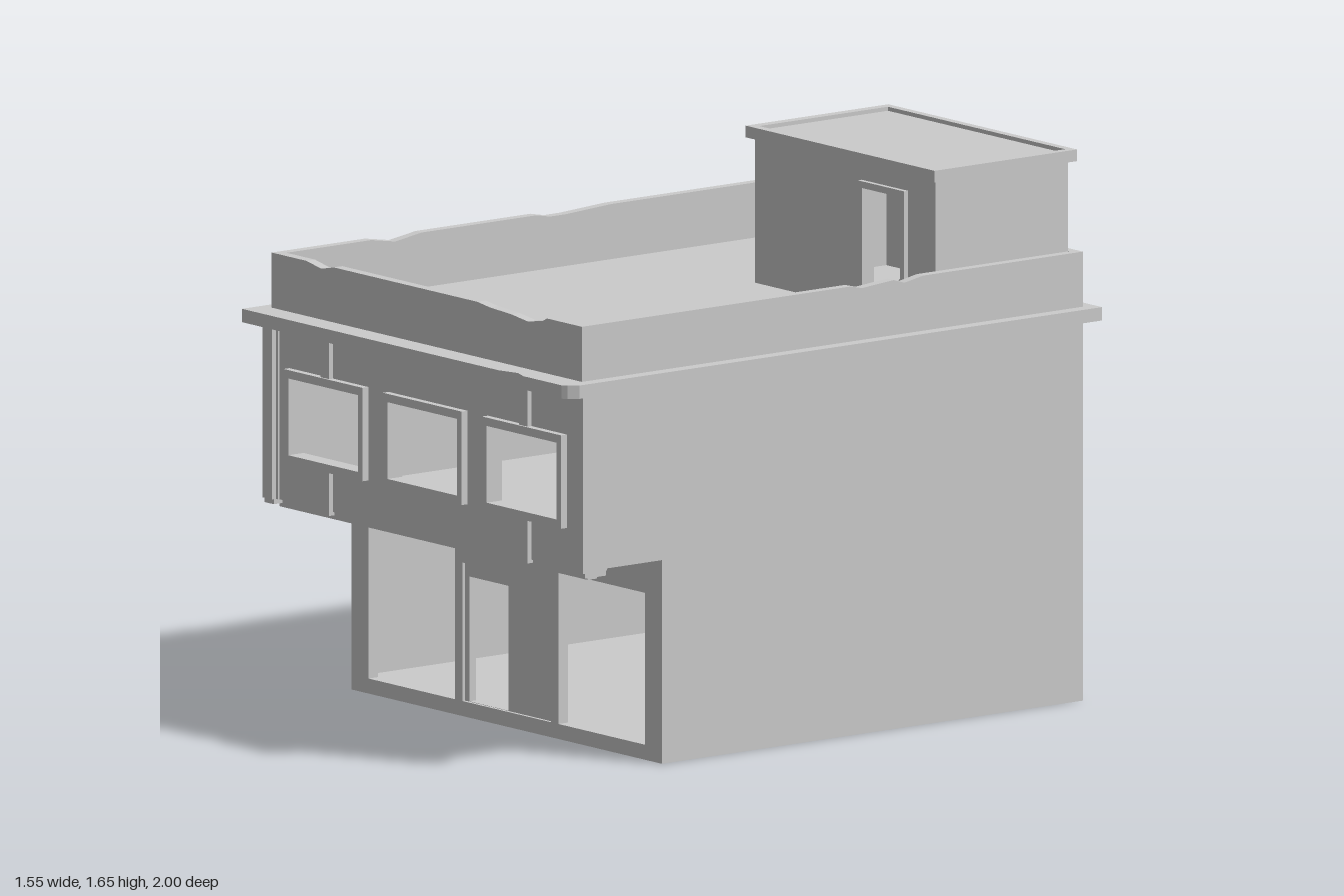
import * as THREE from 'three';

const mat = new THREE.MeshStandardMaterial({ color: 0xcccccc, flatShading: true });

export function createModel() {
  const model = new THREE.Group();
  model.name = 'twoStoreyBuilding';

  const add = (name, geo) => {
    const m = new THREE.Mesh(geo, mat);
    m.name = name;
    model.add(m);
    return m;
  };
  // box given by its extents
  const box = (name, x0, x1, y0, y1, z0, z1) =>
    add(name, new THREE.BoxGeometry(x1 - x0, y1 - y0, z1 - z0)
      .translate((x0 + x1) / 2, (y0 + y1) / 2, (z0 + z1) / 2));
  const rect = (a0, a1, b0, b1) => [[a0, b0], [a1, b0], [a1, b1], [a0, b1]];
  const slab = (points, holes, depth) => {
    const toV = (p) => p.map(([a, b]) => new THREE.Vector2(a, b));
    const s = new THREE.Shape(toV(points));
    holes.forEach((h) => s.holes.push(new THREE.Path(toV(h))));
    return new THREE.ExtrudeGeometry(s, { depth, bevelEnabled: false });
  };
  // wall facing z (outline in x,y), wall facing x (outline in z,y), floor (outline in x,z)
  const wallZ = (name, pts, holes, z0, z1) =>
    add(name, slab(pts, holes, z1 - z0).translate(0, 0, z0));
  const wallX = (name, pts, holes, x0, x1) =>
    add(name, slab(pts, holes, x1 - x0).rotateY(-Math.PI / 2).translate(x1, 0, 0));
  const floor = (name, pts, holes, y0, y1) =>
    add(name, slab(pts, holes, y1 - y0).rotateX(Math.PI / 2).translate(0, y1, 0));

  // --- Main shell ---
  const sideOutline = [[-0.96, 0], [0.62, 0], [0.62, 0.61], [0.92, 0.61], [0.92, 1.14], [-0.96, 1.14]];
  wallX('leftWall', sideOutline, [], 0.705, 0.735);
  wallX('rightWall', sideOutline, [], -0.735, -0.705);
  wallZ('backWall', rect(-0.705, 0.705, 0, 1.14), [rect(-0.645, -0.455, 0.045, 0.42)], -0.96, -0.93);
  wallZ('shopFront', rect(-0.705, 0.705, 0, 0.61), [
    rect(-0.655, -0.245, 0.045, 0.5),
    rect(-0.21, 0.21, 0.045, 0.46),
    rect(0.245, 0.655, 0.045, 0.5),
  ], 0.585, 0.62);
  box('groundFloor', -0.705, 0.705, 0, 0.045, -0.93, 0.585);

  // front door: open left half in a frame, closed right leaf
  wallZ('doorFrame', rect(-0.21, 0, 0.045, 0.46), [rect(-0.19, -0.005, 0.046, 0.42)], 0.585, 0.61);
  box('doorLeaf', 0, 0.21, 0.045, 0.46, 0.59, 0.61);

  // --- Upper storey ---
  const stairHole = rect(-0.1, 0.39, -0.71, -0.46);
  floor('upperFloor', rect(-0.705, 0.705, -0.93, 0.89), [stairHole], 0.61, 0.625);
  const windows = [-0.47, 0, 0.47];
  wallZ('upperFront', rect(-0.705, 0.705, 0.61, 1.14),
    windows.map((x) => rect(x - 0.165, x + 0.165, 0.755, 0.985)), 0.885, 0.915);
  for (const x of windows) {
    wallZ('windowFrame', rect(x - 0.187, x + 0.187, 0.73, 1.01),
      [rect(x - 0.165, x + 0.165, 0.755, 0.985)], 0.88, 0.937);
    if (x) {
      box('frontStrip', x - 0.02, x + 0.02, 1.01, 1.14, 0.91, 0.93);
      box('frontStrip', x - 0.02, x + 0.02, 0.6, 0.73, 0.91, 0.93);
    }
  }
  for (const s of [-1, 1]) {
    const [a, b] = [s * 0.715, s * 0.76].sort((p, q) => p - q);
    box('cornerPilaster', a, b, 0.61, 1.14, 0.845, 0.935);
    box('pilasterFoot', a, b, 0.595, 0.615, 0.85, 0.928);
  }
  box('overhangBeam', -0.73, 0.73, 0.583, 0.612, 0.86, 0.895);

  // --- Cornice and roof deck, with worn front corners ---
  floor('corniceAndDeck', [
    [-0.775, -1], [0.775, -1], [0.775, 0.96], [0.755, 0.99], [0.74, 1], [0.56, 1],
    [0.51, 0.982], [0.44, 1], [-0.775, 1],
  ], [stairHole], 1.14, 1.18);

  // --- Parapet with chipped top edges ---
  const top = 1.345;
  wallZ('frontParapet', [
    [-0.735, 1.18], [0.735, 1.18], [0.735, top], [0.57, top], [0.55, 1.335], [0.48, 1.322],
    [0.4, 1.332], [0.3, 1.337], [0.24, top], [-0.44, top], [-0.5, 1.332], [-0.57, top], [-0.735, top],
  ], [], 0.888, 0.92);
  wallZ('backParapet', rect(-0.735, 0.735, 1.18, top), [], -0.96, -0.932);
  wallX('leftParapet', [
    [-0.932, 1.18], [0.888, 1.18], [0.888, top], [-0.09, top], [-0.13, 1.335],
    [-0.25, top], [-0.29, 1.332], [-0.36, top], [-0.932, top],
  ], [], 0.705, 0.735);
  wallX('rightParapet', [
    [-0.932, 1.18], [0.888, 1.18], [0.888, top], [0.57, top], [0.48, 1.33], [0.38, top],
    [-0.05, top], [-0.1, 1.335], [-0.16, 1.335], [-0.33, top], [-0.932, top],
  ], [], -0.735, -0.705);

  // --- Rooftop stair house ---
  wallZ('stairHouseFront', rect(-0.155, 0.7, 1.18, 1.615), [rect(0.37, 0.55, 1.181, 1.545)], -0.46, -0.435);
  wallZ('stairHouseBack', rect(-0.155, 0.7, 1.18, 1.615), [], -0.932, -0.907);
  box('stairHouseSide', -0.155, -0.13, 1.18, 1.615, -0.907, -0.46);
  box('stairHouseSide', 0.675, 0.7, 1.18, 1.615, -0.907, -0.46);
  wallZ('roofDoorFrame', [
    [0.35, 1.18], [0.37, 1.18], [0.37, 1.545], [0.55, 1.545], [0.55, 1.18],
    [0.57, 1.18], [0.57, 1.565], [0.35, 1.565],
  ], [], -0.465, -0.42);
  box('stairHouseRoof', -0.175, 0.72, 1.615, 1.638, -0.95, -0.415);
  floor('stairHouseRoofRim', rect(-0.175, 0.72, -0.95, -0.415),
    [rect(-0.145, 0.695, -0.925, -0.442)], 1.638, 1.65);

  // --- Inside: stairs, rails and partition ---
  const beam = (name, x0, y0, x1, y1, z, t) => {
    const m = add(name, new THREE.BoxGeometry(Math.hypot(x1 - x0, y1 - y0), t, t));
    m.position.set((x0 + x1) / 2, (y0 + y1) / 2, z);
    m.rotation.z = Math.atan2(y1 - y0, x1 - x0);
  };
  const flight = (x0, y0, x1, y1) => {
    const n = 12, dx = (x1 - x0) / n, dy = (y1 - y0) / n;
    const pts = [[x0, y0]];
    for (let i = 0; i < n; i++) {
      pts.push([x0 + i * dx, y0 + (i + 1) * dy], [x0 + (i + 1) * dx, y0 + (i + 1) * dy]);
    }
    pts.push([x1, y1 - 0.04], [x0 + 0.04, y0]);
    wallZ('stairs', pts.reverse(), [], -0.69, -0.49);
    for (const z of [-0.7, -0.48]) {
      beam('stairStringer', x0 + 0.03, y0 + 0.02, x1, y1 - 0.01, z, 0.02);
      beam('handrail', x0 + 0.03, y0 + 0.21, x1 - 0.1, y1 + 0.1, z, 0.014);
      box('railPost', x0 + 0.025, x0 + 0.04, y0, y0 + 0.21, z - 0.007, z + 0.007);
    }
  };
  flight(-0.18, 0.045, 0.39, 0.62);
  flight(-0.2, 0.625, 0.38, 1.18);
  box('stairPartition', 0.2, 0.705, 0.045, 0.61, -0.45, -0.425);
  box('guardRail', 0, 0.4, 0.795, 0.81, -0.46, -0.445);
  for (const x of [0.01, 0.2, 0.39]) box('guardPost', x - 0.007, x + 0.007, 0.625, 0.8, -0.46, -0.446);

  return model;
}
